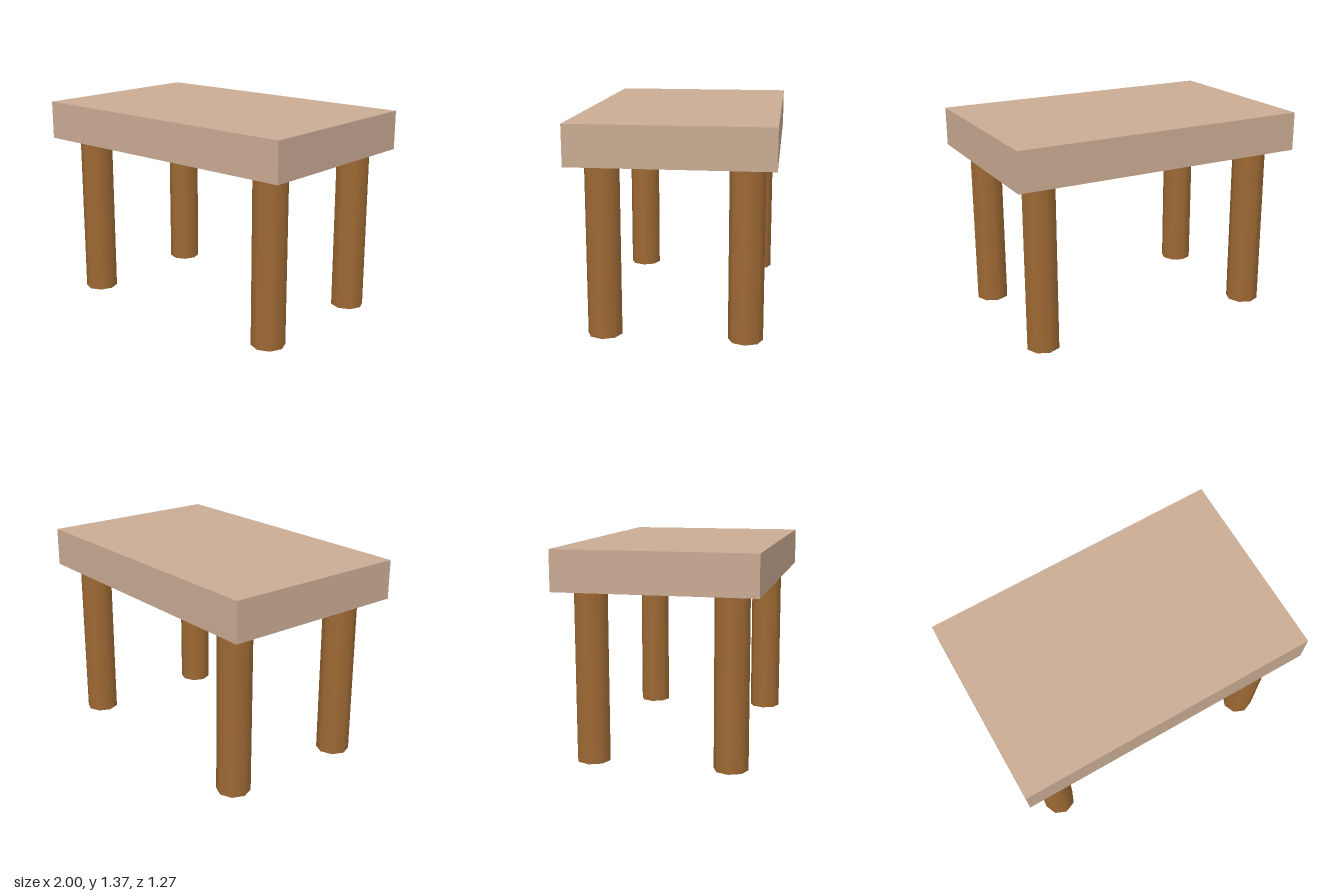
import * as THREE from 'three';

export function createModel() {
  const model = new THREE.Group();
  const paleWood = new THREE.MeshStandardMaterial({ name: 'paleWood', color: 0xc9ab93 });
  const brownWood = new THREE.MeshStandardMaterial({ name: 'brownWood', color: 0x9e6934 });

  const legHeight = 1.107;
  const topHeight = 0.258;

  // Thick slab top
  const top = new THREE.Mesh(new THREE.BoxGeometry(2, topHeight, 1.266), paleWood);
  top.name = 'tableTop';
  top.position.y = legHeight + topHeight / 2;
  model.add(top);

  // Four eight-sided, smooth-shaded legs, set slightly off centre
  const legGeometry = new THREE.CylinderGeometry(0.11, 0.11, legHeight, 8);
  for (const [sideName, x] of [['Left', 0.797], ['Right', -0.77]]) {
    for (const [endName, z] of [['front', 0.438], ['back', -0.453]]) {
      const leg = new THREE.Mesh(legGeometry, brownWood);
      leg.name = `${endName}${sideName}Leg`;
      leg.position.set(x, legHeight / 2, z);
      model.add(leg);
    }
  }
  return model;
}
